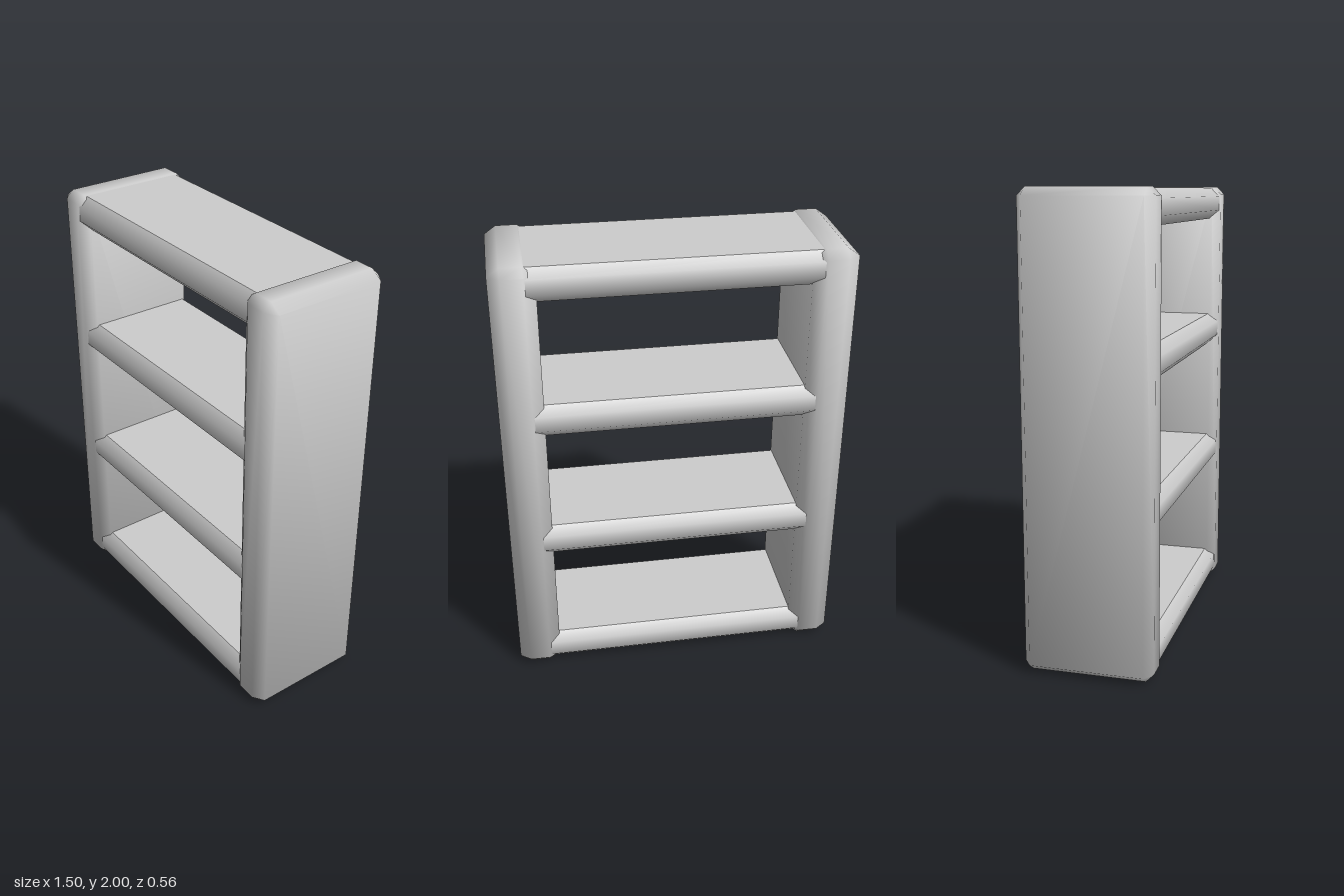
import * as THREE from 'three';

// Collects convex polygons of { p, n } corners into one outward-facing geometry.
function polygonsToGeometry(polygons) {
  const pos = [], nor = [];
  for (const poly of polygons) {
    const mean = poly.reduce((s, v) => s.add(v.n), new THREE.Vector3());
    for (let i = 1; i < poly.length - 1; i++) {
      let tri = [poly[0], poly[i], poly[i + 1]];
      const e1 = tri[1].p.clone().sub(tri[0].p), e2 = tri[2].p.clone().sub(tri[0].p);
      if (e1.cross(e2).dot(mean) < 0) tri = [tri[0], tri[2], tri[1]];
      for (const v of tri) { pos.push(...v.p.toArray()); nor.push(...v.n.toArray()); }
    }
  }
  const g = new THREE.BufferGeometry();
  g.setAttribute('position', new THREE.Float32BufferAttribute(pos, 3));
  g.setAttribute('normal', new THREE.Float32BufferAttribute(nor, 3));
  return g;
}

// Box with one chamfer on every edge, shaded softly all round.
function softChamferBox(half, bevel) {
  const corner = (axis, signs) => ({
    p: new THREE.Vector3(...signs.map((s, i) => s * (half[i] - (i === axis ? 0 : bevel[i])))),
    n: new THREE.Vector3(...signs.map((s, i) => s * (i === axis ? 2.5 : 1))).normalize(),
  });
  const at = (a, sa, b, sb, c, sc) => { const s = []; s[a] = sa; s[b] = sb; s[c] = sc; return s; };
  const polys = [];
  for (let a = 0; a < 3; a++) {
    const b = (a + 1) % 3, c = (a + 2) % 3;
    for (const s of [-1, 1]) {
      // main face
      polys.push([[-1, -1], [1, -1], [1, 1], [-1, 1]].map(([u, v]) => corner(a, at(a, s, b, u, c, v))));
      // edge chamfers between faces a and b
      for (const t of [-1, 1]) {
        const lo = at(a, s, b, t, c, -1), hi = at(a, s, b, t, c, 1);
        polys.push([corner(a, lo), corner(b, lo), corner(b, hi), corner(a, hi)]);
      }
    }
  }
  // corner triangles
  for (const x of [-1, 1]) for (const y of [-1, 1]) for (const z of [-1, 1])
    polys.push([0, 1, 2].map(a => corner(a, [x, y, z])));
  return polygonsToGeometry(polys);
}

// Plank with flat top and bottom and soft, chamfered front and back edges.
function shelfGeometry(halfLength, halfHeight, halfDepth, bevel) {
  const polys = [];
  const v = (x, y, z, n) => ({ p: new THREE.Vector3(x, y, z), n: new THREE.Vector3(...n).normalize() });
  const L = halfLength, zi = halfDepth - bevel, yi = halfHeight - bevel;
  for (const s of [-1, 1]) {
    // top and bottom
    polys.push([[-L, -zi], [L, -zi], [L, zi], [-L, zi]].map(([x, z]) => v(x, s * halfHeight, z, [0, s, 0])));
    // rounded front and back
    const edge = [
      [halfHeight, zi, 45], [yi, halfDepth, 22.5], [-yi, halfDepth, -22.5], [-halfHeight, zi, -45],
    ].map(([y, z, deg]) => {
      const r = THREE.MathUtils.degToRad(deg);
      return [y, s * z, [0, Math.sin(r), s * Math.cos(r)]];
    });
    for (let i = 0; i < 3; i++) {
      const [p, q] = [edge[i], edge[i + 1]];
      polys.push([v(-L, ...p), v(L, ...p), v(L, ...q), v(-L, ...q)]);
    }
    // end caps
    const outline = [[halfHeight, zi], [yi, halfDepth], [-yi, halfDepth], [-halfHeight, zi],
      [-halfHeight, -zi], [-yi, -halfDepth], [yi, -halfDepth], [halfHeight, -zi]];
    polys.push(outline.map(([y, z]) => v(s * L, y, z, [s, 0, 0])));
  }
  return polygonsToGeometry(polys);
}

export function createModel() {
  const model = new THREE.Group();
  model.name = 'shelfUnit';
  const grey = new THREE.MeshStandardMaterial({ color: 0xcccccc });
  grey.name = 'light grey';

  // upright side panels
  const panelGeo = softChamferBox([0.095, 1, 0.28], [0.05, 0.035, 0.035]);
  for (const [name, side] of [['leftPanel', 1], ['rightPanel', -1]]) {
    const panel = new THREE.Mesh(panelGeo, grey);
    panel.name = name;
    panel.position.set(side * 0.655, 1, 0);
    model.add(panel);
  }

  // four evenly spaced shelves, let into the panels
  const shelfGeo = shelfGeometry(0.64, 0.0735, 0.275, 0.04);
  for (let i = 0; i < 4; i++) {
    const shelf = new THREE.Mesh(shelfGeo, grey);
    shelf.name = `shelf${i + 1}`;
    shelf.position.y = 0.083 + i * 0.613;
    model.add(shelf);
  }
  return model;
}
